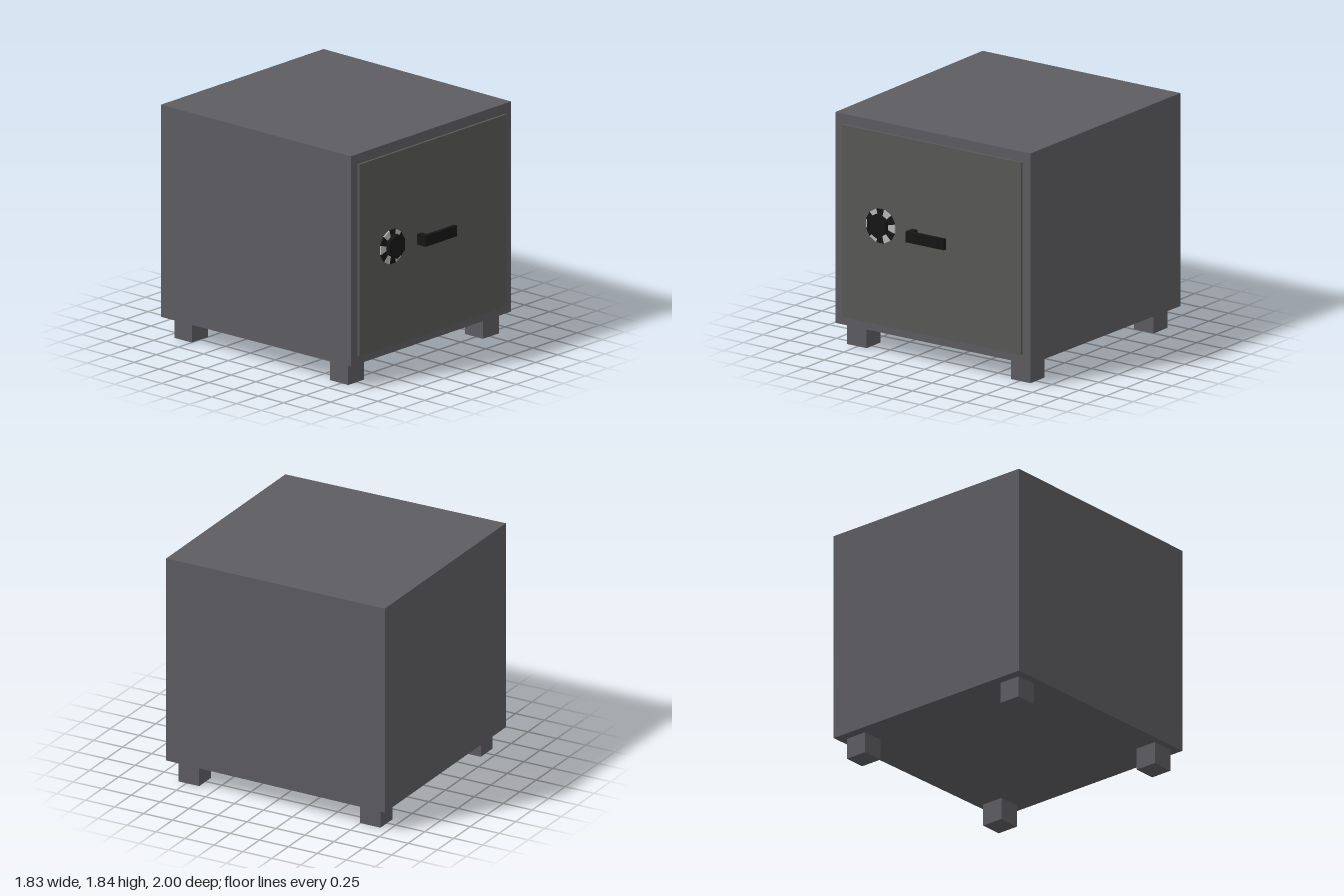
import * as THREE from 'three';

const paint = (color) => new THREE.MeshStandardMaterial({ color, flatShading: true });

export function createModel() {
  const safe = new THREE.Group();
  safe.name = 'safe';
  const steel = paint(0x5d5c61), doorGrey = paint(0x585856);
  const black = paint(0x161616), silver = paint(0xb8b8b8);

  const add = (parent, name, geometry, material) => {
    const mesh = new THREE.Mesh(geometry, material);
    mesh.name = name;
    parent.add(mesh);
    return mesh;
  };
  // Box given by its limits on each axis
  const box = (parent, name, material, [x0, x1], [y0, y1], [z0, z1]) =>
    add(parent, name, new THREE.BoxGeometry(x1 - x0, y1 - y0, z1 - z0)
      .translate((x0 + x1) / 2, (y0 + y1) / 2, (z0 + z1) / 2), material);

  // Body: a box that widens slightly towards the back
  const body = new THREE.BoxGeometry(1, 1, 1);
  const p = body.attributes.position;
  for (let i = 0; i < p.count; i++) {
    const back = p.getZ(i) < 0;
    const x = Math.sign(p.getX(i)) * (back ? 0.917 : 0.903);
    const y = p.getY(i) > 0 ? (back ? 1.836 : 1.83) : (back ? 0.165 : 0.175);
    p.setXYZ(i, x, y, back ? -1 : 0.895);
  }
  body.computeVertexNormals();
  add(safe, 'body', body, steel);

  // Door panel
  box(safe, 'door', doorGrey, [-0.83, 0.83], [0.24, 1.75], [0.88, 0.915]);

  // Four square feet
  for (const side of [-1, 1]) {
    for (const [z0, z1] of [[0.64, 0.82], [-0.925, -0.75]]) {
      const foot = box(safe, 'foot', steel, [-0.09, 0.09], [0, 0.178], [z0, z1]);
      foot.position.x = side * 0.76;
    }
  }

  // Dial: twelve alternating wedges, a neck and a six-sided knob
  const dial = new THREE.Group();
  dial.name = 'dial';
  dial.position.set(-0.467, 1.021, 0);
  safe.add(dial);
  const disc = (name, material, radius, z0, z1, sides, start = 0, sweep = Math.PI * 2) =>
    add(dial, name, new THREE.CylinderGeometry(radius, radius, z1 - z0, sides, 1, false, start, sweep)
      .rotateX(Math.PI / 2).translate(0, 0, (z0 + z1) / 2), material);
  const step = Math.PI / 6;
  for (let k = 0; k < 12; k++) {
    disc('dialWedge', k % 2 ? silver : black, 0.137, 0.912, 0.927, 1, (k - 0.5) * step, step);
  }
  disc('dialNeck', doorGrey, 0.075, 0.925, 0.942, 12);
  disc('dialKnob', black, 0.098, 0.94, 0.974, 6).position.y = 0.011;

  // L-shaped lever handle
  const handle = new THREE.Group();
  handle.name = 'handle';
  safe.add(handle);
  box(handle, 'handlePost', black, [-0.178, -0.13], [0.965, 1.05], [0.91, 0.97]);
  box(handle, 'handleBar', black, [-0.178, 0.176], [0.965, 1.05], [0.97, 1]);

  return safe;
}
